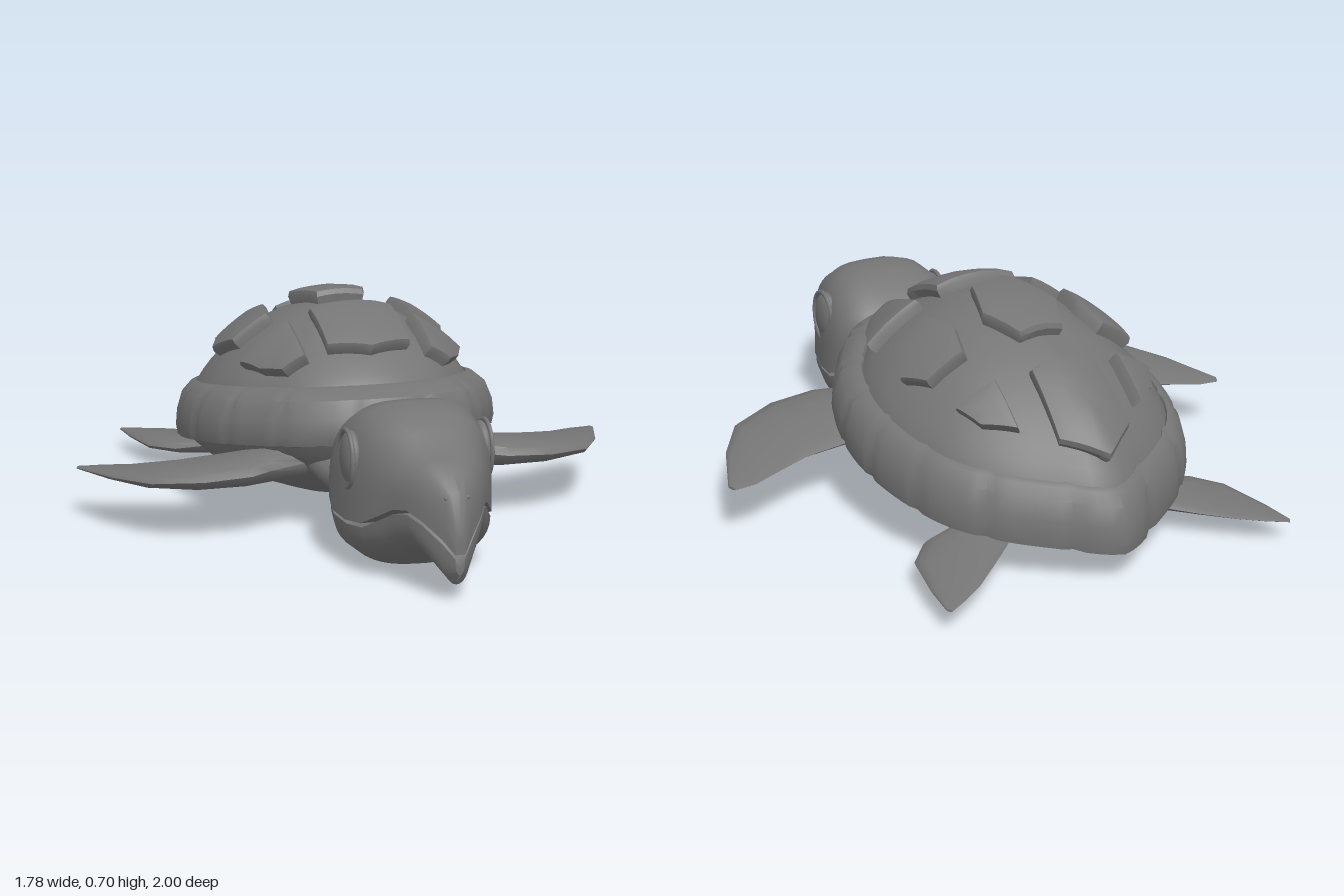
import * as THREE from 'three';
import { toCreasedNormals } from 'three/addons/utils/BufferGeometryUtils.js';

const material = new THREE.MeshStandardMaterial({ color: 0x757575 });
const V = (x, y, z) => new THREE.Vector3(x, y, z);
const SIDES = [['left', 1], ['right', -1]];

// Skin a list of equal-length rings, cap both ends, and turn all faces outward
function loft(rings, crease = 0.6) {
  const n = rings[0].length, pts = rings.flat(), index = [];
  for (let r = 0; r < rings.length - 1; r++) {
    for (let i = 0; i < n; i++) {
      const a = r * n + i, b = r * n + (i + 1) % n;
      index.push(a, b, b + n, a, b + n, a + n);
    }
  }
  [0, rings.length - 1].forEach((r, end) => {
    const c = pts.length, mid = V(0, 0, 0);
    rings[r].forEach(p => mid.addScaledVector(p, 1 / n));
    pts.push(mid);
    for (let i = 0; i < n; i++) {
      const a = r * n + i, b = r * n + (i + 1) % n;
      end ? index.push(a, b, c) : index.push(b, a, c);
    }
  });
  let volume = 0;
  for (let i = 0; i < index.length; i += 3) {
    volume += pts[index[i]].dot(V(0, 0, 0).crossVectors(pts[index[i + 1]], pts[index[i + 2]]));
  }
  if (volume < 0) index.reverse();
  const geo = new THREE.BufferGeometry().setFromPoints(pts);
  geo.setIndex(index);
  return toCreasedNormals(geo, crease);
}

// Shell plan: radius around the middle, every 15 degrees from front to back
const MID_Z = -0.25;
const plan = new THREE.SplineCurve(
  [0.63, 0.62, 0.6, 0.555, 0.535, 0.52, 0.52, 0.53, 0.555, 0.595, 0.625, 0.665, 0.74]
    .map((r, i) => new THREE.Vector2(i, r)));
const radius = a => plan.getPoint(Math.abs(Math.atan2(Math.sin(a), Math.cos(a))) / Math.PI).y;
// Share of the radius where the rim meets the dome: broad rim in front, narrow behind
const inner = a => 0.84 - 0.06 * Math.cos(a);
const rimTop = z => 0.43 + 0.16 * z;
const rimBottom = z => 0.255 + 0.16 * z;

function domeY(x, z) {
  const a = Math.atan2(x, z - MID_Z);
  const s = Math.hypot(x, z - MID_Z) / (inner(a) * radius(a));
  const height = 0.268 - 0.08 * (z - MID_Z);
  return rimTop(z) + height * Math.pow(Math.max(0, 1 - s * s), 0.85);
}

function domePoint(x, z, offset) {
  const e = 0.02;
  const normal = V(domeY(x - e, z) - domeY(x + e, z), 2 * e, domeY(x, z - e) - domeY(x, z + e));
  return V(x, domeY(x, z), z).addScaledVector(normal.normalize(), offset);
}

// Ring around the shell plan; scale depends on the angle, height on the place
function planRing(scale, yRule, count = 72) {
  return Array.from({ length: count }, (_, i) => {
    const a = i / count * Math.PI * 2, r = scale(a, i) * radius(a);
    const x = r * Math.sin(a), z = MID_Z + r * Math.cos(a);
    return V(x, yRule(x, z), z);
  });
}

// Raised plate lying on the dome, from corners [x, z]
function scute(corners) {
  const n = corners.length, steps = 5, outline = [];
  const cx = corners.reduce((t, c) => t + c[0], 0) / n;
  const cz = corners.reduce((t, c) => t + c[1], 0) / n;
  corners.forEach(([x, z], i) => {
    const [x2, z2] = corners[(i + 1) % n];
    for (let k = 0; k < steps; k++) outline.push([x + (x2 - x) * k / steps, z + (z2 - z) * k / steps]);
  });
  const rings = [[0.98, -0.02], [1, 0.025], [0.94, 0.04], [0.7, 0.042], [0.4, 0.042], [0.05, 0.042]];
  return loft(rings.map(([s, h]) =>
    outline.map(([x, z]) => domePoint(cx + (x - cx) * s, cz + (z - cz) * s, h))));
}

// Flipper from stations [leading x, z, trailing x, z, y, half thickness]
function flipper(stations, side, tilt) {
  return loft(stations.map(([ax, az, bx, bz, y, t]) => Array.from({ length: 14 }, (_, i) => {
    const a = i / 14 * Math.PI * 2, u = (1 - Math.cos(a)) / 2;
    const z = az + (bz - az) * u;
    const lens = t * Math.sin(a) * (1.25 - 0.6 * u);
    return V(side * (ax + (bx - ax) * u), y + tilt * z + lens, z);
  })), 0.8);
}

// Head stations: [z, half width, top, mouth line, chin]
const HEAD = [
  [0.998, 0.015, 0.21, 0.145, 0.09], [0.97, 0.045, 0.325, 0.185, 0.055], [0.92, 0.09, 0.375, 0.23, 0.09],
  [0.87, 0.12, 0.4, 0.25, 0.118], [0.82, 0.145, 0.41, 0.24, 0.105], [0.77, 0.17, 0.455, 0.21, 0.075],
  [0.7, 0.205, 0.488, 0.17, 0.035], [0.61, 0.225, 0.51, 0.158, 0.006], [0.52, 0.238, 0.495, 0.165, 0.003],
  [0.46, 0.23, 0.465, 0.19, 0.015], [0.41, 0.205, 0.425, 0.23, 0.05], [0.345, 0.17, 0.34, 0.28, 0.11],
];

// Half-oval sections on one side of the mouth line; the skull is squarer than the beak
function headHalf(upper) {
  return loft(HEAD.map(([z, w, top, mouth, chin]) => Array.from({ length: 21 }, (_, i) => {
    const a = i / 20 * Math.PI, c = Math.cos(a), p = upper ? (z > 0.75 ? 0.75 : 0.62) : 0.9;
    const base = mouth + (upper ? 0.006 : -0.007), far = upper ? top : chin;
    const x = w * (upper ? 1 : 0.98) * Math.sign(c) * Math.pow(Math.abs(c), p);
    return V(x, base + (far - base) * Math.pow(Math.max(0, Math.sin(a)), p), z);
  })), 0.7);
}

export function createModel() {
  const group = new THREE.Group();
  const add = (name, geo) => {
    const mesh = new THREE.Mesh(geo, material);
    mesh.name = name;
    group.add(mesh);
    return mesh;
  };

  // Dome, from its rim to the crown
  const domeSteps = [1, 0.985, 0.95, 0.9, 0.82, 0.7, 0.55, 0.4, 0.2, 0.01];
  add('shellDome', loft(domeSteps.map(s => planRing(a => s * inner(a), domeY)), 0.9));

  // Rim of sixteen plates with shallow grooves; profile is [share of the way in, height share]
  const perPlate = 8;
  const groove = i => (i % perPlate === perPlate / 2 ? 0.985 : 1);
  const rimProfile = [[1, 0.08], [0.35, 0], [0.06, 0.03], [0, 0.2], [0.06, 0.5], [0.3, 0.83],
    [0.7, 1.01], [0.95, 1.05], [1.04, 0.95]];
  add('shellRim', loft(rimProfile.map(([k, f]) => planRing(
    (a, i) => (1 - (1 - inner(a)) * k) * groove(i),
    (x, z) => rimBottom(z) + (rimTop(z) - rimBottom(z)) * f, 16 * perPlate)), 0.6));

  // Rounded belly
  const bellySteps = [0.94, 0.9, 0.82, 0.7, 0.55, 0.4, 0.2, 0.01];
  add('belly', loft(bellySteps.map(s => planRing(() => s, (x, z) => rimBottom(z) + 0.03
    - 0.2 * Math.pow(1 - (s / 0.94) ** 2, 0.62) - 0.22 * Math.max(0, z + 0.35) * (1 - s))), 0.9));

  // Plates down the middle
  add('frontCentreScute', scute([[-0.13, -0.09], [0.13, -0.09], [0.132, 0.11], [0, 0.15], [-0.132, 0.11]]));
  add('middleCentreScute', scute([[-0.07, -0.48], [0.07, -0.48], [0.125, -0.35],
    [0.075, -0.19], [-0.075, -0.19], [-0.125, -0.35]]));
  add('rearCentreScute', scute([[0, -0.87], [0.11, -0.78], [0.1, -0.59], [-0.1, -0.59], [-0.11, -0.78]]));

  // Head, jaw and neck
  add('upperHead', headHalf(true));
  add('lowerJaw', headHalf(false));
  const neck = [[0.42, 0.14, 0.19, 0.08], [0.34, 0.165, 0.2, 0.09], [0.27, 0.19, 0.2, 0.1],
    [0.17, 0.24, 0.24, 0.085], [0.02, 0.25, 0.23, 0.09]];
  add('neck', loft(neck.map(([z, rx, y, ry]) => Array.from({ length: 24 }, (_, i) => {
    const a = i / 24 * Math.PI * 2;
    return V(rx * Math.cos(a), y + ry * Math.sin(a), z);
  })), 0.9));

  // Paired parts
  const sideScutes = {
    Front: [[0.19, -0.09], [0.19, 0.11], [0.255, 0.1], [0.31, 0.02], [0.35, -0.075]],
    Middle: [[0.335, -0.425], [0.225, -0.44], [0.2, -0.34], [0.225, -0.2], [0.335, -0.21], [0.375, -0.33]],
    Rear: [[0.195, -0.7], [0.195, -0.56], [0.315, -0.55], [0.28, -0.63]],
  };
  const frontFlipper = [
    [0.22, 0.2, 0.22, -0.02, 0.215, 0.055], [0.35, 0.24, 0.35, -0.04, 0.205, 0.052],
    [0.42, 0.275, 0.45, -0.07, 0.198, 0.047], [0.57, 0.27, 0.6, -0.085, 0.19, 0.039],
    [0.72, 0.2, 0.72, -0.13, 0.185, 0.026], [0.815, 0.05, 0.81, -0.17, 0.185, 0.014],
    [0.892, -0.15, 0.88, -0.178, 0.186, 0.004],
  ];
  const rearFlipper = [
    [0.28, -0.48, 0.16, -0.66, 0.115, 0.042], [0.38, -0.595, 0.27, -0.76, 0.093, 0.036],
    [0.47, -0.615, 0.36, -0.84, 0.085, 0.028], [0.545, -0.7, 0.445, -0.915, 0.08, 0.02],
    [0.58, -0.87, 0.52, -0.965, 0.076, 0.011], [0.592, -0.985, 0.58, -1, 0.074, 0.003],
  ];
  for (const [name, side] of SIDES) {
    for (const [place, corners] of Object.entries(sideScutes)) {
      add(`${name}${place}Scute`, scute(corners.map(([x, z]) => [x * side, z])));
    }
    add(`${name}FrontFlipper`, flipper(frontFlipper, side, 0.08));
    add(`${name}RearFlipper`, flipper(rearFlipper, side, 0));

    // Eye with a slim lid around it
    const eye = add(`${name}Eye`, new THREE.SphereGeometry(1, 24, 16));
    eye.scale.set(0.03, 0.085, 0.066);
    eye.position.set(side * 0.203, 0.347, 0.6);
    const lid = add(`${name}EyeLid`, new THREE.TorusGeometry(0.07, 0.007, 8, 32));
    lid.rotation.y = Math.PI / 2;
    lid.scale.set(0.97, 1.24, 1);
    lid.position.set(side * 0.217, 0.347, 0.6);

    const nostril = add(`${name}Nostril`, new THREE.SphereGeometry(0.006, 10, 8));
    nostril.position.set(side * 0.033, 0.31, 0.964);
  }
  return group;
}
